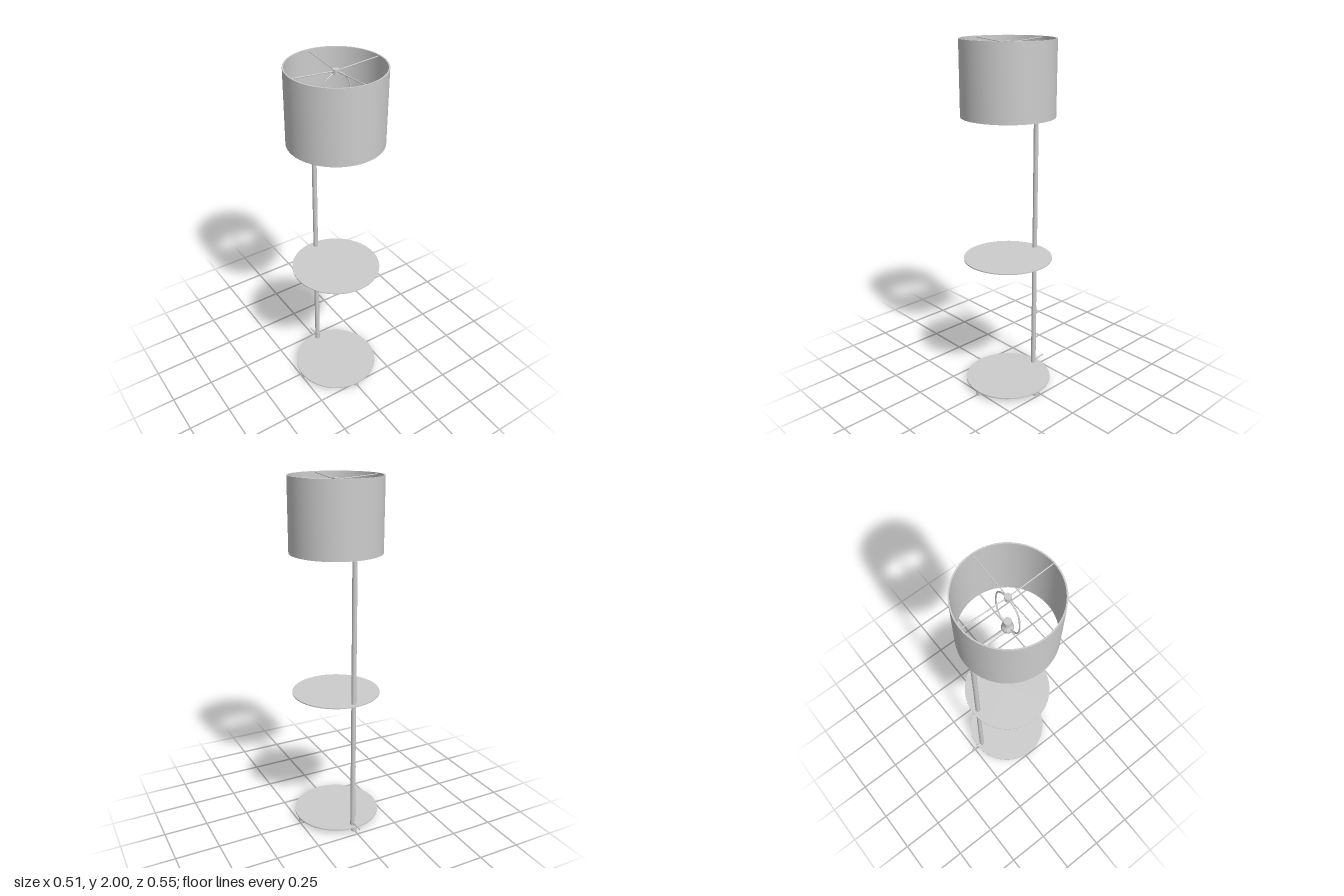
import * as THREE from 'three';
import { toCreasedNormals } from 'three/addons/utils/BufferGeometryUtils.js';

const CENTER_Z = 0.0225; // axis of the shade
const DISC_Z = 0.026; // axis of the table and base discs
const POLE_Z = -0.19;

export function createModel() {
  const lamp = new THREE.Group();
  lamp.name = 'floorLamp';
  const grey = new THREE.MeshStandardMaterial({ color: 0xcccccc });
  grey.name = 'paleGrey';

  const add = (name, geometry, x = 0, y = 0, z = 0) => {
    const mesh = new THREE.Mesh(geometry, grey);
    mesh.name = name;
    mesh.position.set(x, y, z);
    lamp.add(mesh);
    return mesh;
  };
  // Upright cylinder between two heights
  const post = (name, r, y0, y1, x, z, sides = 24) =>
    add(name, new THREE.CylinderGeometry(r, r, y1 - y0, sides), x, (y0 + y1) / 2, z);
  // Straight round bar between two points
  const bar = (name, a, b, r) => {
    const from = new THREE.Vector3(...a);
    const to = new THREE.Vector3(...b);
    const dir = to.clone().sub(from);
    const mesh = add(name, new THREE.CylinderGeometry(r, r, dir.length(), 12));
    mesh.position.copy(from).add(to).multiplyScalar(0.5);
    mesh.quaternion.setFromUnitVectors(new THREE.Vector3(0, 1, 0), dir.normalize());
    return mesh;
  };
  const tube = (name, points, r, steps) => {
    const curve = new THREE.CatmullRomCurve3(points.map((p) => new THREE.Vector3(...p)));
    return add(name, new THREE.TubeGeometry(curve, steps, r, 8));
  };

  // Base and table discs
  post('base', 0.25, 0.024, 0.031, 0, DISC_Z, 64);
  post('table', 0.25, 0.796, 0.802, 0, DISC_Z, 64);

  // Four feet under the base
  for (let i = 0; i < 4; i++) {
    const a = (i * Math.PI) / 2;
    post('foot', 0.016, 0, 0.025, Math.cos(a) * 0.232, DISC_Z + Math.sin(a) * 0.232, 20);
  }

  // Pole in two lengths, with the arm that carries the socket
  post('lowerPole', 0.0145, 0.008, 0.418, 0, POLE_Z);
  post('upperPole', 0.0135, 0.418, 1.675, 0, POLE_Z);
  bar('arm', [0, 1.66, POLE_Z], [0, 1.66, CENTER_Z], 0.012);

  // Socket below the harp
  const socket = [[0, 1.645], [0.02, 1.645], [0.03, 1.665], [0.03, 1.685], [0.02, 1.7], [0.02, 1.74], [0, 1.74]];
  add('socket', toCreasedNormals(new THREE.LatheGeometry(
    socket.map(([r, y]) => new THREE.Vector2(r, y)), 32), 0.6), 0, 0, CENTER_Z);

  // Harp loop rising from the socket to the shade hub
  const half = [[0.025, 1.69], [0.06, 1.71], [0.083, 1.77], [0.085, 1.85], [0.07, 1.92], [0.035, 1.956]];
  const harp = [
    ...half.map(([x, y]) => [-x, y, CENTER_Z]),
    [0, 1.965, CENTER_Z],
    ...half.slice().reverse().map(([x, y]) => [x, y, CENTER_Z]),
  ];
  tube('harp', harp, 0.004, 60);

  // Hub and four spokes of the shade
  post('finial', 0.017, 1.96, 1.985, 0, CENTER_Z);
  for (let i = 0; i < 4; i++) {
    const a = (i * Math.PI) / 2;
    bar('spoke', [0, 1.975, CENTER_Z],
      [Math.cos(a) * 0.249, 1.994, CENTER_Z + Math.sin(a) * 0.249], 0.0028);
  }

  // Drum shade with a thin wall
  const wall = [[0.254, 1.6], [0.254, 2], [0.247, 2], [0.247, 1.6], [0.254, 1.6]];
  add('shade', toCreasedNormals(new THREE.LatheGeometry(
    wall.map(([r, y]) => new THREE.Vector2(r, y)), 64), 0.6), 0, 0, CENTER_Z);

  // Power cord leaving the back of the pole
  bar('cordSleeve', [0, 0.046, POLE_Z], [0, 0.046, -0.225], 0.007);
  tube('cord', [[0, 0.046, -0.215], [0, 0.046, -0.245], [-0.004, 0.046, -0.277]], 0.004, 12);

  return lamp;
}
